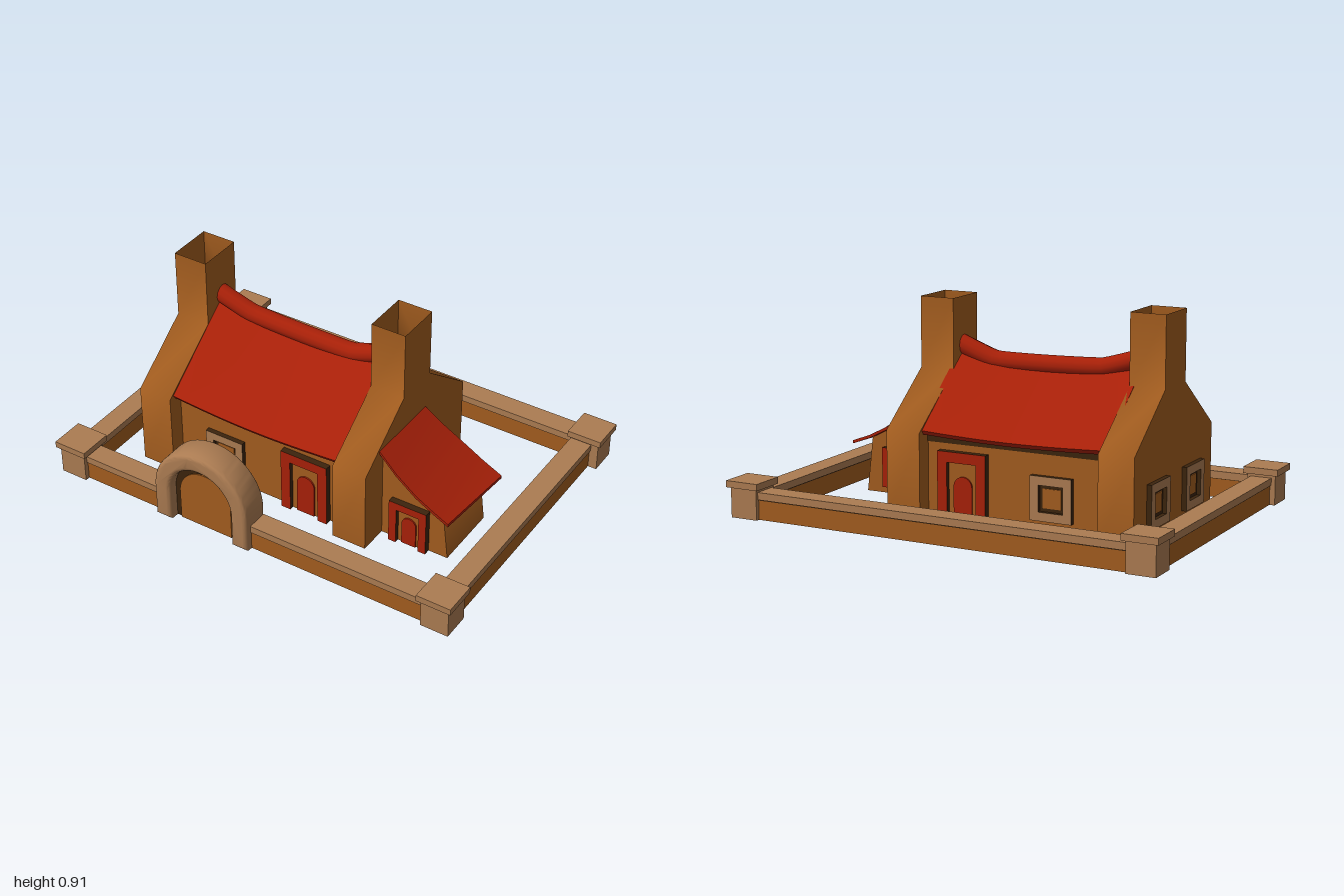
import * as THREE from 'three';
import { toCreasedNormals } from 'three/addons/utils/BufferGeometryUtils.js';

const paint = (name, color, side = THREE.FrontSide) => {
  const m = new THREE.MeshStandardMaterial({ color, side });
  m.name = name;
  return m;
};

export function createModel() {
  const model = new THREE.Group();
  model.name = 'cottage';
  const brown = paint('brown plaster', 0xa35d1f, THREE.DoubleSide);
  const red = paint('red', 0xa82008);
  const stone = paint('tan stone', 0xac7c52);
  const dark = paint('dark brown', 0x3c240d);

  const add = (name, geo, mat, parent = model) => {
    const mesh = new THREE.Mesh(geo, mat);
    mesh.name = name;
    parent.add(mesh);
    return mesh;
  };
  // box given by its minimum and maximum corners
  const boxGeo = (x0, x1, y0, y1, z0, z1) => new THREE.BoxGeometry(x1 - x0, y1 - y0, z1 - z0)
    .translate((x0 + x1) / 2, (y0 + y1) / 2, (z0 + z1) / 2);
  const box = (name, mat, x0, x1, y0, y1, z0, z1, parent) =>
    add(name, boxGeo(x0, x1, y0, y1, z0, z1), mat, parent);
  // removes the level faces at the given heights, leaving an open shell
  const openAt = (geo, ...levels) => {
    const src = geo.index ? geo.toNonIndexed() : geo;
    const p = src.attributes.position.array, kept = [];
    for (let i = 0; i < p.length; i += 9) {
      const cut = levels.some((y) => [1, 4, 7].every((k) => Math.abs(p[i + k] - y) < 1e-4));
      if (!cut) kept.push(...p.slice(i, i + 9));
    }
    const shell = new THREE.BufferGeometry();
    shell.setAttribute('position', new THREE.Float32BufferAttribute(kept, 3));
    return toCreasedNormals(shell, 1);
  };
  // skin over convex cross-sections that follow each other along +x
  const loft = (sections) => {
    const n = sections[0].length, last = (sections.length - 1) * n, index = [];
    for (let i = 0; i < last; i += n) {
      for (let j = 0; j < n; j++) {
        const k = (j + 1) % n, a = i + j, b = i + k;
        index.push(a, b, b + n, a, b + n, a + n);
      }
    }
    for (let j = 1; j < n - 1; j++) index.push(0, j + 1, j, last, last + j, last + j + 1);
    const geo = new THREE.BufferGeometry();
    geo.setAttribute('position', new THREE.Float32BufferAttribute(sections.flat(2), 3));
    geo.setIndex(index);
    return toCreasedNormals(geo, 0.5);
  };
  const archShape = (r, spring) => {
    const s = new THREE.Shape();
    s.moveTo(-r, 0);
    s.lineTo(r, 0);
    s.lineTo(r, spring);
    s.absarc(0, spring, r, 0, Math.PI, false);
    s.closePath();
    return s;
  };
  const archPlate = (r, spring, depth) =>
    new THREE.ExtrudeGeometry(archShape(r, spring), { depth, bevelEnabled: false, curveSegments: 16 });

  // gable walls running up into open-topped chimneys
  const outline = [[-0.425, 0], [0.375, 0], [0.375, 0.375], [0.08, 0.6], [0.08, 0.91],
    [-0.13, 0.91], [-0.13, 0.6], [-0.425, 0.375]].map(([x, y]) => new THREE.Vector2(x, y));
  const gableGeo = openAt(new THREE.ExtrudeGeometry(new THREE.Shape(outline), { depth: 0.16, bevelEnabled: false })
    .rotateY(Math.PI / 2), 0, 0.91);
  for (const [name, x] of [['rightGableChimney', -0.74], ['leftGableChimney', 0.25]]) {
    add(name, gableGeo, brown).position.x = x;
  }

  // main house walls with a dark band under the eaves
  add('houseWalls', openAt(boxGeo(-0.6, 0.27, 0, 0.36, -0.3, 0.35), 0), brown);
  for (const [z0, z1] of [[0.35, 0.354], [-0.304, -0.3]]) box('eavesBand', dark, -0.58, 0.25, 0.33, 0.36, z0, z1);

  // sagging main roof and its ridge roll
  const roofSections = [];
  for (let i = 0; i <= 10; i++) {
    const t = i / 10, x = -0.6 + 0.87 * t, bow = Math.sin(Math.PI * t);
    const top = 0.685 - 0.045 * bow, zf = 0.4 + 0.012 * bow, zb = -0.352 - 0.012 * bow;
    const eave = 0.384 - 0.01 * bow;
    roofSections.push([[x, top, 0.02], [x, eave, zf], [x, eave - 0.018, zf - 0.012],
      [x, eave - 0.018, zb + 0.012], [x, eave, zb]]);
  }
  add('mainRoof', loft(roofSections), red);
  const ridge = [[-0.6, 0.705], [-0.42, 0.652], [-0.17, 0.642], [0.09, 0.642], [0.27, 0.705]]
    .map(([x, y]) => new THREE.Vector3(x, y, 0.015));
  const ridgeCurve = new THREE.CatmullRomCurve3(ridge, false, 'catmullrom', 0.2);
  add('ridgeRoll', new THREE.TubeGeometry(ridgeCurve, 24, 0.042, 12), red);

  // lean-to with a curved roof
  const slope = [[0.4, 0.452, -0.05, 0.315], [0.5, 0.376, -0.06, 0.332], [0.6, 0.312, -0.068, 0.342],
    [0.69, 0.266, -0.064, 0.345], [0.785, 0.23, -0.055, 0.342]];
  add('leanToRoof', loft(slope.map(([x, y, zb, zf], i) => {
    const xf = i === 4 ? x - 0.03 : x;
    return [[xf, y, zf], [xf, y - 0.014, zf], [x, y - 0.014, zb], [x, y, zb]];
  })), red);
  add('leanToWalls', openAt(loft(slope.slice(0, 4).map(([x, y], i) => {
    const foot = i === 3 ? 0.73 : x;
    return [[x + 0.01, y - 0.012, 0.29], [foot, 0, 0.29], [foot, 0, -0.02], [x + 0.01, y - 0.012, -0.02]];
  })), 0), brown);

  // doors and windows, placed on a wall facing the angle "turn"
  const place = (name, x, y, z, turn) => {
    const g = new THREE.Group();
    g.name = name;
    g.position.set(x, y, z);
    g.rotation.y = turn;
    model.add(g);
    return g;
  };
  // frame pieces have a painted front and dark edges
  const edged = (mat) => [dark, dark, dark, dark, mat, dark];
  const door = (name, w, h, x, z, turn) => {
    const g = place(name, x, 0, z, turn), p = w * 0.2, r = w / 2;
    box('doorPost', edged(red), -r, -r + p, 0, h - p, 0, 0.03, g);
    box('doorPost', edged(red), r - p, r, 0, h - p, 0, 0.03, g);
    box('doorLintel', edged(red), -r, r, h - p, h, 0, 0.03, g);
    box('doorPanel', brown, -r + p, r - p, 0, h - p, 0, 0.009, g);
    add('doorInset', archPlate(w * 0.19, h * 0.5, 0.008), red, g).position.z = 0.008;
  };
  const windowFrame = (name, w, x, y, z, turn, mat) => {
    const g = place(name, x, y, z, turn), p = w * 0.2, r = w / 2;
    box('windowJamb', edged(mat), -r, -r + p, 0, w, 0, 0.022, g);
    box('windowJamb', edged(mat), r - p, r, 0, w, 0, 0.022, g);
    box('windowSill', edged(mat), -r + p, r - p, 0, p, 0, 0.022, g);
    box('windowLintel', edged(mat), -r + p, r - p, w - p, w, 0, 0.022, g);
    box('windowRecess', dark, -r + p, r - p, p, w - p, 0, 0.004, g);
    box('windowPane', brown, -w * 0.22, w * 0.22, w * 0.28, w * 0.72, 0, 0.008, g);
  };
  door('frontDoor', 0.23, 0.3, 0.075, 0.35, 0);
  door('backDoor', 0.23, 0.3, 0.075, -0.3, Math.PI);
  door('leanToDoor', 0.18, 0.21, 0.55, 0.29, 0);
  windowFrame('leanToBackWindow', 0.18, 0.55, 0.03, -0.02, Math.PI, red);
  windowFrame('frontWindow', 0.19, -0.34, 0.05, 0.35, 0, stone);
  windowFrame('backWindow', 0.19, -0.34, 0.05, -0.3, Math.PI, stone);
  for (const z of [0.205, -0.155]) windowFrame('gableWindow', 0.19, -0.74, 0.05, z, -Math.PI / 2, stone);

  // garden wall: hollow plaster base, dark joint and stone coping
  const gardenWall = (x0, x1, z0, z1) => {
    add('gardenWall', openAt(boxGeo(x0, x1, 0, 0.09, z0, z1), 0), brown);
    box('wallJoint', dark, x0 - 0.001, x1 + 0.001, 0.084, 0.089, z0 - 0.001, z1 + 0.001);
    const e = 0.006;
    box('wallCoping', stone, x0 - e, x1 + e, 0.088, 0.12, z0 - e, z1 + e);
  };
  gardenWall(-0.92, -0.43, 0.59, 0.675);
  gardenWall(-0.03, 0.9, 0.59, 0.675);
  gardenWall(-0.92, 0.91, -0.685, -0.597);
  gardenWall(-0.96, -0.877, -0.64, 0.63);
  gardenWall(0.857, 0.944, -0.64, 0.63);

  // corner posts with caps
  for (const [x, z] of [[-0.92, 0.633], [0.905, 0.633], [-0.92, -0.64], [0.92, -0.64]]) {
    box('cornerPost', stone, x - 0.064, x + 0.064, 0, 0.135, z - 0.064, z + 0.064);
    box('postCap', stone, x - 0.079, x + 0.079, 0.133, 0.162, z - 0.079, z + 0.079);
  }

  // rounded stone gateway
  const arch = new THREE.Shape();
  arch.moveTo(0.237, 0);
  arch.lineTo(0.237, 0.158);
  arch.absarc(0, 0.158, 0.237, 0, Math.PI, false);
  arch.lineTo(-0.237, 0);
  arch.lineTo(-0.155, 0);
  arch.lineTo(-0.155, 0.158);
  arch.absarc(0, 0.158, 0.155, Math.PI, 0, true);
  arch.lineTo(0.155, 0);
  arch.closePath();
  const archGeo = new THREE.ExtrudeGeometry(arch, {
    depth: 0.1, bevelEnabled: true, bevelThickness: 0.02, bevelSize: 0.02, bevelOffset: -0.02,
    bevelSegments: 4, curveSegments: 20,
  });
  add('gateArch', toCreasedNormals(archGeo, 0.7), stone).position.set(-0.228, 0, 0.592);

  // gate: dark surround with a brown leaf standing proud on both sides
  add('gateSurround', archPlate(0.16, 0.155, 0.044), dark).position.set(-0.228, 0, 0.62);
  add('gateLeaf', archPlate(0.13, 0.145, 0.056), brown).position.set(-0.228, 0, 0.614);

  return model;
}
